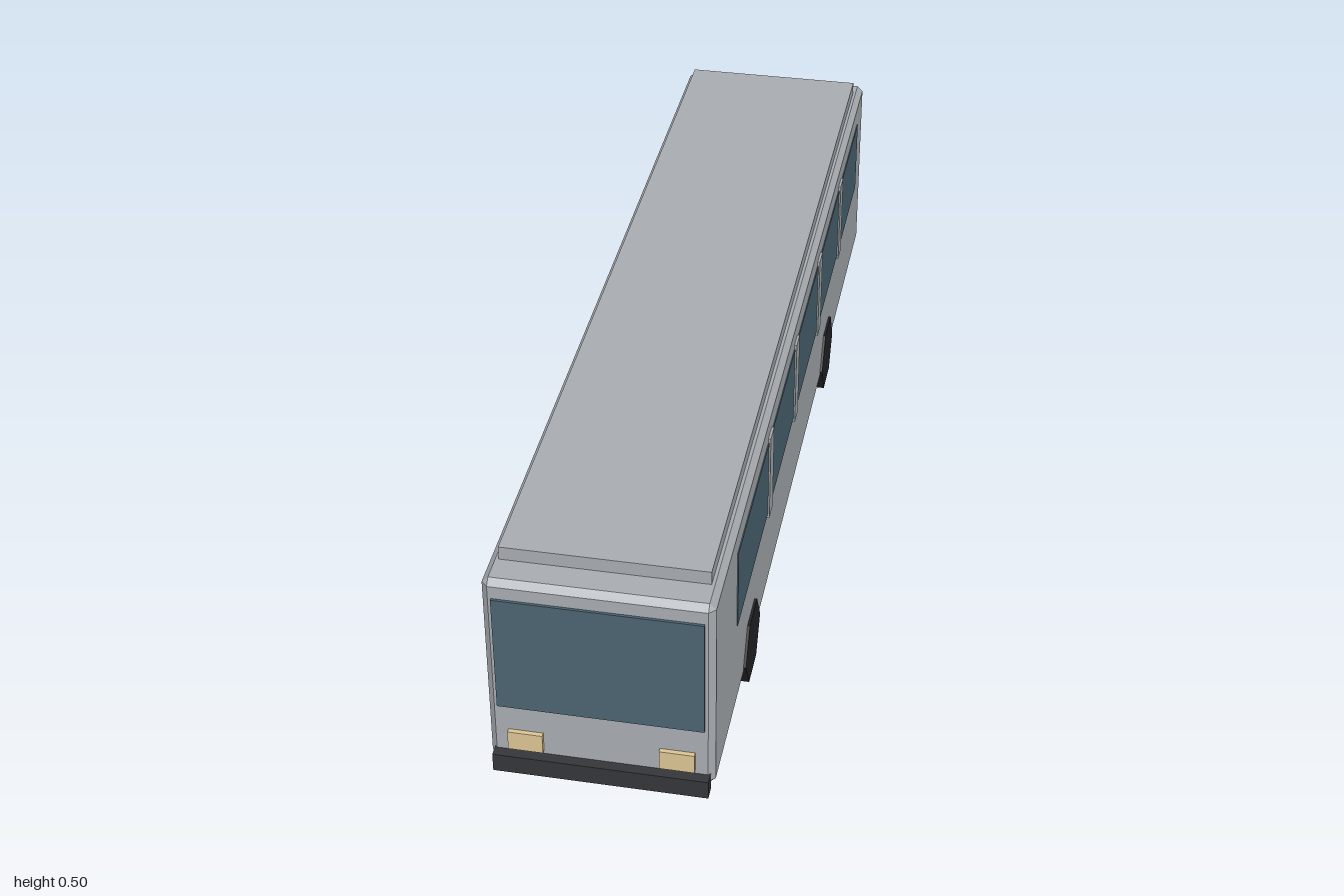
import * as THREE from 'three';
import { ConvexGeometry } from 'three/addons/geometries/ConvexGeometry.js';

const material = (color) => new THREE.MeshStandardMaterial({ color, flatShading: true });

// Box with every edge cut by a flat chamfer
function chamferBox(w, h, d, c) {
  const points = [];
  for (const sx of [-1, 1]) for (const sy of [-1, 1]) for (const sz of [-1, 1]) {
    const x = sx * w / 2, y = sy * h / 2, z = sz * d / 2;
    points.push(
      new THREE.Vector3(x, y - sy * c, z - sz * c),
      new THREE.Vector3(x - sx * c, y, z - sz * c),
      new THREE.Vector3(x - sx * c, y - sy * c, z));
  }
  return new ConvexGeometry(points);
}

export function createModel() {
  const bus = new THREE.Group();
  bus.name = 'bus';
  const paint = material(0xa8acb1);
  const glass = material(0x4b6470);
  const trim = material(0x35363a);
  const rubber = material(0x222326);
  const lamp = material(0xdcc593);
  const red = material(0xb03028);

  const add = (name, geometry, mat, x, y, z) => {
    const mesh = new THREE.Mesh(geometry, mat);
    mesh.name = name;
    mesh.position.set(x, y, z);
    bus.add(mesh);
    return mesh;
  };
  // Box given by its lower and upper limits on each axis
  const box = (name, mat, [x0, x1], [y0, y1], [z0, z1]) =>
    add(name, new THREE.BoxGeometry(x1 - x0, y1 - y0, z1 - z0), mat,
      (x0 + x1) / 2, (y0 + y1) / 2, (z0 + z1) / 2);

  // Body shell and raised roof panel
  add('body', chamferBox(0.416, 0.42, 1.96, 0.012), paint, 0, 0.26, 0);
  box('roofPanel', paint, [-0.19, 0.19], [0.46, 0.497], [-0.93, 0.917]);

  // Window bands with pillars on both sides
  for (const side of [-1, 1]) {
    const label = side > 0 ? 'left' : 'right';
    add(label + 'WindowBand', new THREE.BoxGeometry(0.01, 0.17, 1.638), glass, side * 0.205, 0.33, -0.062);
    for (const z of [0.395, 0.068, -0.259, -0.584])
      add(label + 'Pillar', new THREE.BoxGeometry(0.012, 0.19, 0.04), paint, side * 0.207, 0.33, z);
  }

  // Doors on the right side only
  for (const [name, z] of [['middleDoor', 0.19], ['frontDoor', 0.79]])
    box(name, glass, [-0.214, -0.2], [0.06, 0.408], [z - 0.1, z + 0.1]);

  // Front and rear glass
  box('windshield', glass, [-0.19, 0.19], [0.185, 0.432], [0.97, 0.985]);
  box('rearWindow', glass, [-0.17, 0.17], [0.295, 0.41], [-0.985, -0.97]);

  // Head and tail lamps
  for (const side of [-1, 1]) {
    add('headlight', new THREE.BoxGeometry(0.065, 0.041, 0.02), lamp, side * 0.14, 0.108, 0.979);
    add('tailLight', new THREE.BoxGeometry(0.04, 0.08, 0.02), red, side * 0.16, 0.178, -0.979);
  }

  // Bumpers
  box('frontBumper', trim, [-0.2, 0.2], [0.04, 0.079], [0.975, 1]);
  box('rearBumper', trim, [-0.2, 0.2], [0.04, 0.079], [-1, -0.975]);

  // Six-sided wheels running the full width
  for (const [name, z] of [['frontWheels', 0.593], ['rearWheels', -0.423]])
    add(name, new THREE.CylinderGeometry(0.082, 0.082, 0.426, 6).rotateZ(Math.PI / 2), rubber, 0, 0.071, z);

  return bus;
}
